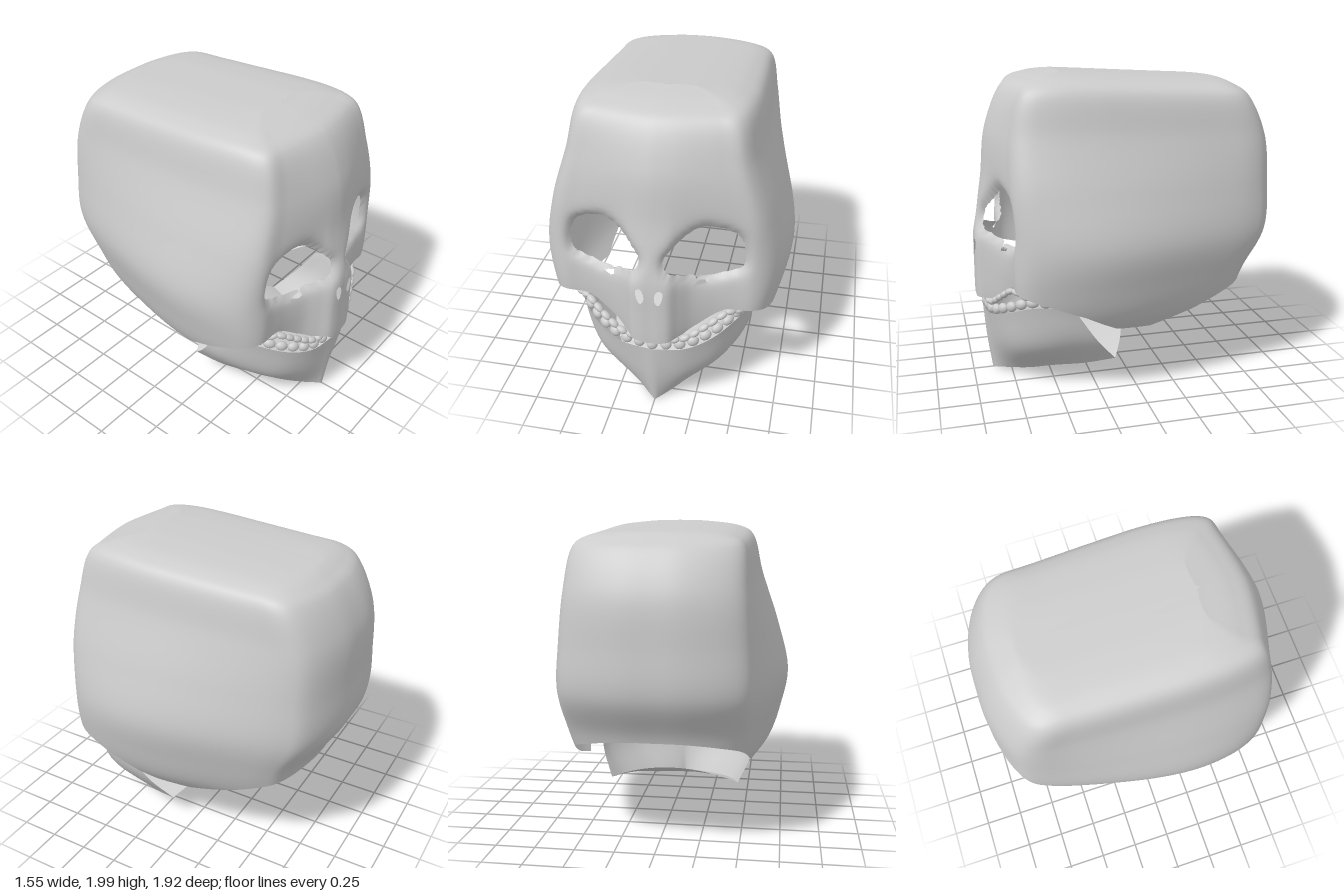
import * as THREE from 'three';
import { mergeVertices } from 'three/addons/utils/BufferGeometryUtils.js';

const bone = new THREE.MeshStandardMaterial({ color: 0xcccccc, side: THREE.DoubleSide });
const lerp = THREE.MathUtils.lerp;
const V = (x, y, z) => new THREE.Vector3(x, y, z);
const mirror = (p) => V(-p.x, p.y, p.z);
const spline = (pts, closed = false) => new THREE.CatmullRomCurve3(pts, closed);

function addMesh(parent, name, geometry) {
  const mesh = new THREE.Mesh(geometry, bone);
  mesh.name = name;
  parent.add(mesh);
  return mesh;
}

// Piecewise linear lookup in ascending [key, value] pairs
function lookup(table, k) {
  if (k <= table[0][0]) return table[0][1];
  for (let i = 1; i < table.length; i++) {
    const [a, va] = table[i - 1], [b, vb] = table[i];
    if (k <= b) return lerp(va, vb, (k - a) / (b - a));
  }
  return table[table.length - 1][1];
}

// Signed distance to a closed outline, negative inside
function outlineDistance(pts, x, y) {
  let d = Infinity, inside = false;
  pts.forEach((a, i) => {
    const b = pts[(i + 1) % pts.length], dx = b.x - a.x, dy = b.y - a.y;
    const t = THREE.MathUtils.clamp(((x - a.x) * dx + (y - a.y) * dy) / (dx * dx + dy * dy || 1), 0, 1);
    d = Math.min(d, Math.hypot(x - a.x - t * dx, y - a.y - t * dy));
    if ((a.y > y) !== (b.y > y) && x < a.x + ((y - a.y) / dy) * dx) inside = !inside;
  });
  return inside ? -d : d;
}

// Skin a grid of points, trimming away everything where keep(p) < 0
function skin(rows, keep = () => 1) {
  const out = [];
  const values = rows.map((row) => row.map(keep));
  const triangle = (...corners) => {
    const poly = [];
    corners.forEach(([i, j], n) => {
      const [k, l] = corners[(n + 1) % 3];
      const p = rows[i][j], q = rows[k][l], f = values[i][j], g = values[k][l];
      if (f >= 0) poly.push(p);
      if ((f >= 0) !== (g >= 0)) poly.push(p.clone().lerp(q, f / (f - g)));
    });
    for (let n = 2; n < poly.length; n++) {
      for (const p of [poly[0], poly[n - 1], poly[n]]) out.push(p.x, p.y, p.z);
    }
  };
  for (let i = 0; i < rows.length - 1; i++) {
    for (let j = 0; j < rows[0].length - 1; j++) {
      triangle([i, j], [i + 1, j], [i, j + 1]);
      triangle([i, j + 1], [i + 1, j], [i + 1, j + 1]);
    }
  }
  const raw = new THREE.BufferGeometry();
  raw.setAttribute('position', new THREE.Float32BufferAttribute(out, 3));
  const geometry = mergeVertices(raw);
  geometry.computeVertexNormals();
  return geometry;
}

// Openings of the face, on the +x half
const outline = (pts) => spline(pts.map(([x, y]) => V(x, y, 0)), true).getPoints(40).slice(0, -1);
const eye = outline([[.07, 1.11], [.09, 1.04], [.19, .98], [.31, .955], [.42, .98], [.52, 1.03],
  [.525, 1.14], [.49, 1.24], [.4, 1.29], [.29, 1.31], [.2, 1.26], [.12, 1.18]]);
const nostril = outline([[.055, .94], [.08, .93], [.075, .87], [.055, .835], [.033, .86], [.035, .91]]);
const notch = [V(.245, .95, 0), V(.315, .92, 0), V(.25, .905, 0)];

// Lower edge of the cranium: across the face by x, along the sides by z
const faceEdge = [[0, .55], [.18, .565], [.27, .62], [.36, .69], [.43, .73]];
const sideEdge = [[-1, .77], [-.8, .72], [-.72, .68], [-.35, .52], [-.07, .435], [.15, .455],
  [.36, .58], [.55, .66], [.76, .73]];

function craniumKeep(p) {
  const x = Math.abs(p.x);
  const edge = p.z > .7 && x < .43 ? lookup(faceEdge, x) : lookup(sideEdge, p.z);
  let f = p.y - edge;
  if (p.z > .6) for (const hole of [eye, nostril, notch]) f = Math.min(f, outlineDistance(hole, x, p.y));
  return f;
}

function craniumGeometry() {
  // y, half width, back half width, back z, face centre z, face corner z, muzzle strength
  const levels = [
    [2.0, 0, 0, -.6, .42, .42, 0],
    [1.995, .22, .25, -.66, .45, .42, 0],
    [1.965, .43, .43, -.73, .62, .56, 0],
    [1.91, .52, .5, -.81, .74, .67, 0],
    [1.65, .59, .54, -.93, .86, .74, 0],
    [1.32, .7, .57, -.955, .9, .76, .25],
    [1.0, .775, .585, -.945, .955, .765, 1],
    [.75, .735, .56, -.81, .96, .76, 1],
    [.55, .67, .5, -.75, .96, .73, 1],
    [.4, .56, .42, -.7, .95, .69, 1]];
  // Face: fraction of corner x, forehead bulge, muzzle bulge
  const face = [[0, 1, 1], [.1, .97, 1], [.19, .92, .93], [.28, .85, .65], [.4, .73, .35],
    [.6, .5, .13], [.8, .26, .04], [1, 0, 0]];
  const half = levels.map(([y, w, wb, zb, zf, zc, m]) => {
    const xe = Math.min(.58, .84 * w), depth = zc - zb;
    const pts = face.map(([fx, a, b]) => V(fx * xe, y, lerp(zc, zf, lerp(a, b, m))));
    for (const [t, k] of [[.45, .035], [.8, .12], [1, .27]]) pts.push(V(lerp(xe, w, t), y, zc - k * depth));
    for (const [t, k] of [[.1, .45], [.65, .74], [1, .87]]) pts.push(V(lerp(w, wb, t), y, zc - k * depth));
    for (const [t, k] of [[.92, .92], [.73, .96], [.35, .995], [0, 1]]) pts.push(V(wb * t, y, zc - k * depth));
    // The crown slopes down towards the back
    for (const p of pts) p.y -= .06 * Math.max(0, y - 1) * Math.max(0, .42 - p.z);
    return pts;
  });
  const columns = half[0].map((_, j) => spline(half.map((row) => row[j])).getPoints(90));
  const rows = columns[0].map((_, i) => {
    const side = columns.map((c) => c[i]);
    const ring = [...side, ...side.slice(1, -1).reverse().map(mirror)];
    return spline(ring, true).getPoints(ring.length * 6);
  });
  // Turn the eye rims inwards
  for (const p of rows.flat()) {
    if (p.z > .6) p.z -= .05 * Math.exp(-Math.max(0, outlineDistance(eye, Math.abs(p.x), p.y)) / .025);
  }
  return skin(rows, craniumKeep);
}

function buildJaw(jaw) {
  // Columns from chin to hinge: rim, middle and lower edge
  const columns = [
    [V(0, .47, .92), V(0, .23, .9), V(0, .01, .87)],
    [V(.2, .48, .89), V(.2, .26, .84), V(.1, .04, .78)],
    [V(.36, .53, .81), V(.36, .29, .74), V(.2, .07, .66)],
    [V(.5, .6, .66), V(.47, .33, .58), V(.31, .12, .5)],
    [V(.56, .61, .52), V(.53, .37, .42), V(.4, .155, .32)],
    [V(.57, .57, .4), V(.54, .37, .27), V(.45, .19, .13)]];
  const curves = columns.map((c) => spline(c).getPoints(14));
  const rows = curves[0].map((_, i) => {
    const side = spline(curves.map((c) => c[i])).getPoints(30);
    return [...side.slice(1).reverse().map(mirror), ...side];
  });
  addMesh(jaw, 'jawWall', skin(rows));

  // Arched underside between the lower edges
  const edge = spline(columns.map((c) => c[2])).getPoints(30);
  const floor = edge.map((p, i) => Array.from({ length: 25 }, (_, j) => {
    const s = j / 12 - 1, rise = .13 * (i / 30) ** 2 * (1 - s * s);
    return V(p.x * s, p.y + rise, p.z - rise);
  }));
  addMesh(jaw, 'jawUnderside', skin(floor));
}

// A row of rounded teeth along a half arch, mirrored to the other side
function buildTeeth(parent, name, path, count, size) {
  const row = new THREE.Group();
  row.name = name;
  parent.add(row);
  const curve = spline(path);
  const geometry = new THREE.SphereGeometry(1, 14, 10);
  for (let i = 0; i < count; i++) {
    const t = i / (count - 1), p = curve.getPointAt(t), dir = curve.getTangentAt(t);
    for (const s of i ? [1, -1] : [1]) {
      const tooth = addMesh(row, 'tooth', geometry);
      tooth.position.set(p.x * s, p.y, p.z);
      tooth.rotation.set(0, s * Math.atan2(-dir.z, dir.x), s * Math.atan2(dir.y, Math.hypot(dir.x, dir.z)), 'YXZ');
      tooth.scale.set(size[0] * (1 + .25 * t), size[1] * (1 - .15 * t), size[2]);
    }
  }
}

export function createModel() {
  const model = new THREE.Group();
  model.name = 'skull';
  addMesh(model, 'cranium', craniumGeometry());

  const jaw = new THREE.Group();
  jaw.name = 'jaw';
  model.add(jaw);
  buildJaw(jaw);
  buildTeeth(jaw, 'lowerTeeth',
    [V(0, .495, .9), V(.2, .51, .87), V(.36, .57, .79), V(.48, .63, .67), V(.52, .635, .58)], 9, [.034, .036, .026]);
  buildTeeth(model, 'upperTeeth',
    [V(0, .54, .9), V(.18, .55, .88), V(.32, .63, .83), V(.43, .7, .77), V(.5, .68, .7)], 10, [.033, .023, .024]);
  return model;
}
